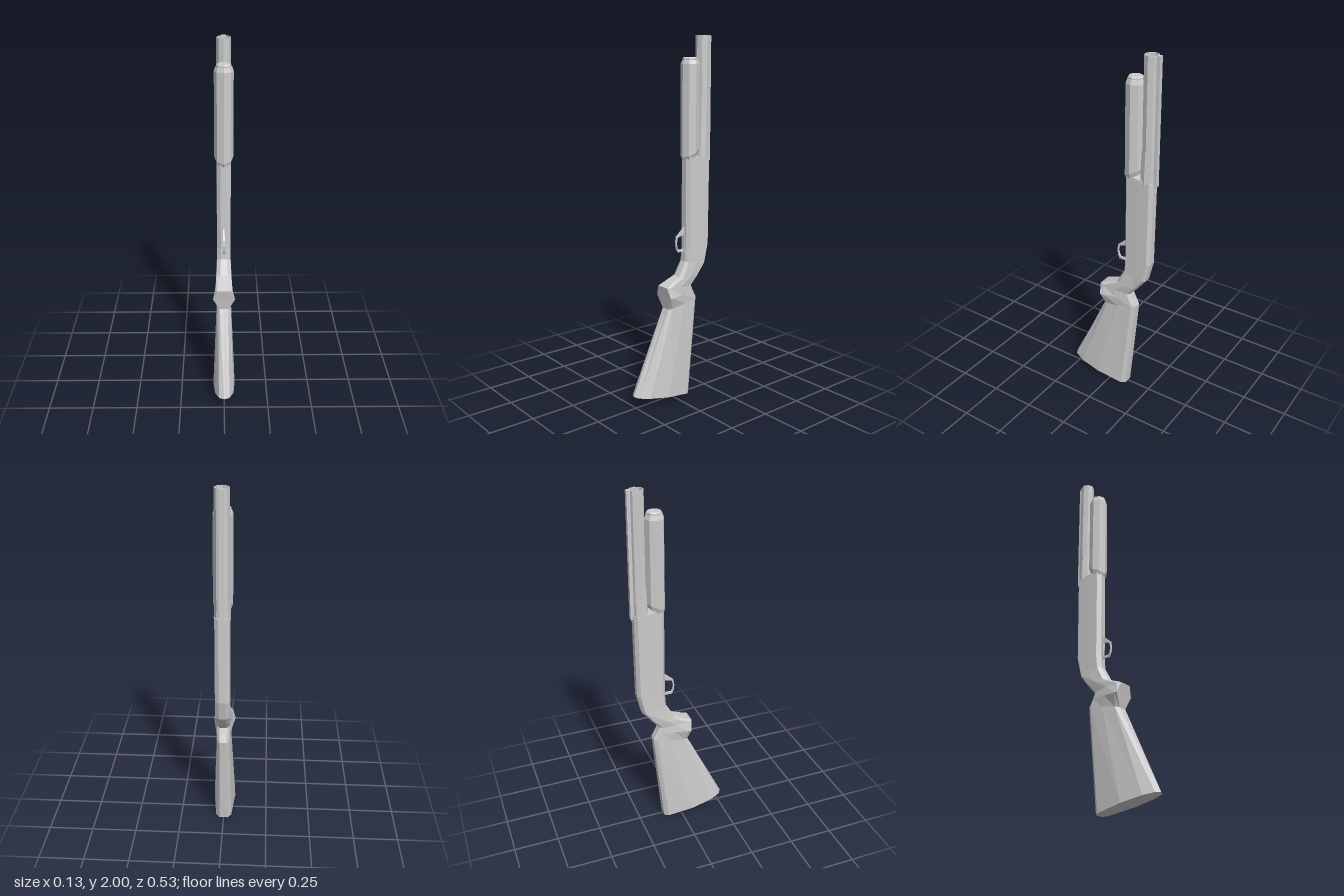
import * as THREE from 'three';

const material = new THREE.MeshStandardMaterial({ color: 0xcccccc, flatShading: true });

function add(group, name, geometry, z = 0) {
  const mesh = new THREE.Mesh(geometry, material);
  mesh.name = name;
  mesh.position.z = z;
  group.add(mesh);
}

// Eight-sided turned part from [radius, y] pairs
function turned(profile) {
  return new THREE.LatheGeometry(profile.map(([r, y]) => new THREE.Vector2(r, y)), 8);
}

// Mirrored cross-sections, each running from a back point to a front point [z, y];
// side holds [share of the way to the front, half width]
function loft(sections) {
  const rings = sections.map(({ back, front, side }) => {
    const at = (t, x) => [x, back[1] + (front[1] - back[1]) * t, back[0] + (front[0] - back[0]) * t];
    return [
      ...side.map(([t, x]) => at(t, x)),
      at(1, 0),
      ...[...side].reverse().map(([t, x]) => at(t, -x)),
    ];
  });
  const n = rings[0].length;
  const index = [];
  for (let i = 0; i < rings.length - 1; i++) {
    for (let j = 0; j < n; j++) {
      const a = i * n + j, b = i * n + (j + 1) % n;
      index.push(a, b, a + n, b, b + n, a + n);
    }
  }
  const last = (rings.length - 1) * n;
  for (let j = 1; j < n - 1; j++) {
    index.push(0, j + 1, j, last, last + j, last + j + 1);
  }
  const geometry = new THREE.BufferGeometry();
  geometry.setAttribute('position', new THREE.Float32BufferAttribute(rings.flat(2), 3));
  geometry.setIndex(index);
  const flat = geometry.toNonIndexed();
  flat.computeVertexNormals();
  return flat;
}

export function createModel() {
  const group = new THREE.Group();

  // Receiver, grip and stock in one continuous body
  const slab = [[0, 0.018], [0.1, 0.038], [0.5, 0.039], [0.9, 0.038], [1, 0.017]];
  const neck = [[0, 0.018], [0.1, 0.036], [0.5, 0.043], [0.88, 0.042], [1, 0.02]];
  add(group, 'body', loft([
    { back: [-0.255, 1.35], front: [-0.09, 1.37], side: slab },
    { back: [-0.25, 0.87], front: [-0.09, 0.85], side: slab },
    { back: [-0.222, 0.755], front: [-0.085, 0.78], side: slab },
    { back: [-0.17, 0.69], front: [-0.04, 0.7], side: neck },
    { back: [-0.125, 0.64], front: [0.06, 0.658], side: [[0, 0.02], [0.08, 0.034], [0.5, 0.046], [0.9, 0.048], [1, 0.038]] },
    { back: [-0.14, 0.607], front: [0.05, 0.6], side: [[0, 0.02], [0.08, 0.034], [0.5, 0.047], [0.9, 0.06], [1, 0.062]] },
    { back: [-0.162, 0.565], front: [0.04, 0.53], side: [[0, 0.02], [0.1, 0.034], [0.5, 0.04], [0.9, 0.038], [1, 0.025]] },
    { back: [-0.105, 0], front: [0.265, 0.07], side: [[0, 0.025], [0.06, 0.045], [0.47, 0.063], [0.8, 0.053], [0.96, 0.03]] },
  ]));

  // Barrel with a hollow muzzle
  add(group, 'barrel', turned([
    [0.038, 1.3], [0.038, 2], [0.033, 2], [0.033, 1.93], [0, 1.9],
  ]), -0.217);

  // Tapered collar where the barrel enters the receiver
  add(group, 'barrelCollar', turned([[0.042, 1.34], [0.041, 1.4], [0.037, 1.52]]), -0.213);

  // Sighting rib along the barrel
  const rib = new THREE.BoxGeometry(0.024, 0.67, 0.022);
  rib.translate(0, 1.665, 0);
  add(group, 'rib', rib, -0.257);

  // Sliding fore-end, its lower edge slanting up toward the barrel
  const pump = turned([
    [0, 1.36], [0.042, 1.36], [0.051, 1.385], [0.051, 1.85], [0.043, 1.872], [0, 1.872],
  ]);
  const p = pump.attributes.position;
  for (let i = 0; i < p.count; i++) {
    if (p.getY(i) < 1.5) p.setY(i, p.getY(i) - p.getZ(i) * 0.5);
  }
  pump.computeVertexNormals();
  add(group, 'foreEnd', pump, -0.13);
  add(group, 'magazineCap', turned([[0.04, 1.86], [0.04, 1.88], [0.034, 1.886], [0, 1.886]]), -0.13);

  // Thin trigger guard, drawn in (z, y) with an opening
  const points = (list) => list.map(([z, y]) => new THREE.Vector2(z, y));
  const guard = new THREE.Shape(points([
    [-0.1, 0.835], [-0.045, 0.837], [-0.034, 0.86], [-0.03, 0.89], [-0.036, 0.925], [-0.09, 0.972], [-0.1, 0.972],
  ]));
  guard.holes.push(new THREE.Path(points([
    [-0.086, 0.85], [-0.086, 0.93], [-0.044, 0.92], [-0.037, 0.89], [-0.041, 0.862], [-0.05, 0.85],
  ])));
  const guardGeometry = new THREE.ExtrudeGeometry(guard, { depth: 0.01, bevelEnabled: false });
  guardGeometry.translate(0, 0, -0.005).rotateY(-Math.PI / 2);
  add(group, 'triggerGuard', guardGeometry);

  return group;
}
